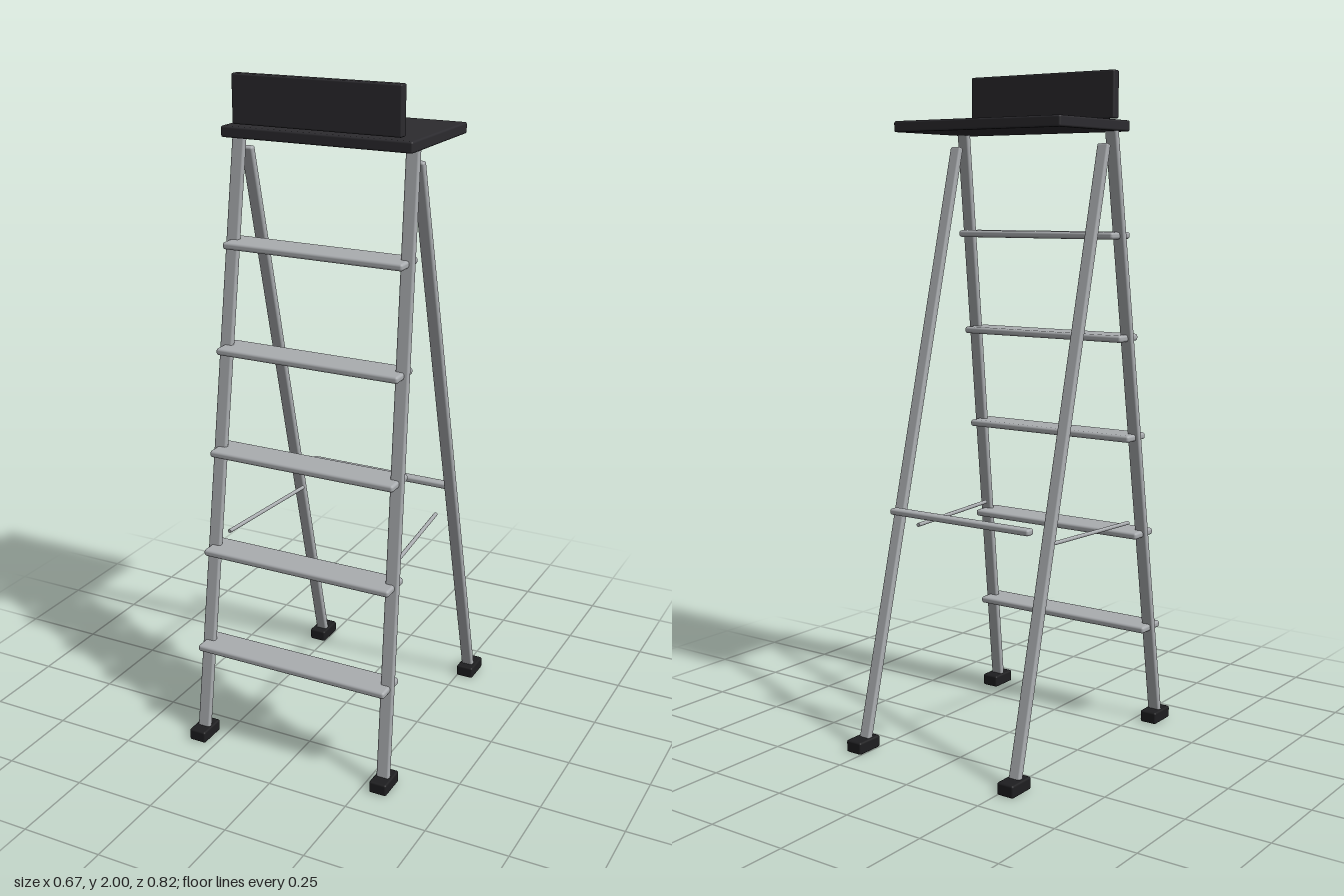
import * as THREE from 'three';
import { RoundedBoxGeometry } from 'three/addons/geometries/RoundedBoxGeometry.js';

const metal = new THREE.MeshStandardMaterial({ color: 0xaaadb0 });
const plastic = new THREE.MeshStandardMaterial({ color: 0x2c2b2f });
const rubber = new THREE.MeshStandardMaterial({ color: 0x1e1e20 });

export function createModel() {
  const model = new THREE.Group();
  model.name = 'stepladder';

  // Box with softened edges, centred at x, y, z
  const block = (name, material, [w, h, d], [x, y, z], radius) => {
    const mesh = new THREE.Mesh(new RoundedBoxGeometry(w, h, d, 2, radius), material);
    mesh.name = name;
    mesh.position.set(x, y, z);
    model.add(mesh);
    return mesh;
  };

  // Flat bar between two points, its width kept along x
  const bar = (name, from, to, width, depth) => {
    const a = new THREE.Vector3(...from), b = new THREE.Vector3(...to);
    const mid = a.clone().add(b).multiplyScalar(0.5);
    const mesh = block(name, metal, [width, a.distanceTo(b), depth], mid.toArray(), 0.006);
    const up = b.sub(a).normalize();
    const front = new THREE.Vector3(1, 0, 0).cross(up).normalize();
    const side = up.clone().cross(front);
    mesh.quaternion.setFromRotationMatrix(new THREE.Matrix4().makeBasis(side, up, front));
  };

  // Top platform and upright front plate
  block('platform', plastic, [0.584, 0.032, 0.37], [0, 1.84, 0.01], 0.006);
  block('topPlate', plastic, [0.514, 0.138, 0.03], [0, 1.931, 0.174], 0.005);

  // Legs, feet and side braces, mirrored
  for (const [s, label] of [[1, 'left'], [-1, 'right']]) {
    bar(label + 'FrontLeg', [s * 0.306, 0.015, 0.366], [s * 0.267, 1.835, 0.132], 0.04, 0.018);
    bar(label + 'BackLeg', [s * 0.274, 0.015, -0.361], [s * 0.265, 1.787, 0.095], 0.037, 0.02);
    block(label + 'FrontFoot', rubber, [0.055, 0.037, 0.09], [s * 0.307, 0.0185, 0.363], 0.006);
    block(label + 'BackFoot', rubber, [0.055, 0.037, 0.09], [s * 0.276, 0.0185, -0.366], 0.006);

    const a = new THREE.Vector3(s * 0.27, 0.652, 0.245);
    const b = new THREE.Vector3(s * 0.233, 0.652, -0.15);
    const rod = new THREE.Mesh(new THREE.CylinderGeometry(0.006, 0.006, a.distanceTo(b), 12), metal);
    rod.name = label + 'SideBrace';
    rod.position.copy(a).add(b).multiplyScalar(0.5);
    rod.quaternion.setFromUnitVectors(new THREE.Vector3(0, 1, 0), b.sub(a).normalize());
    model.add(rod);
  }

  // Treads narrow and move back as they climb
  for (let i = 0; i < 5; i++) {
    block('tread' + (i + 1), metal, [0.622 - i * 0.0155, 0.021, 0.104],
      [0, 0.31 + i * 0.3035, 0.327 - i * 0.0388], 0.008);
  }

  // Cross rail behind the back legs
  block('rearCrossRail', metal, [0.5, 0.019, 0.032], [0, 0.711, -0.248], 0.007);

  return model;
}
